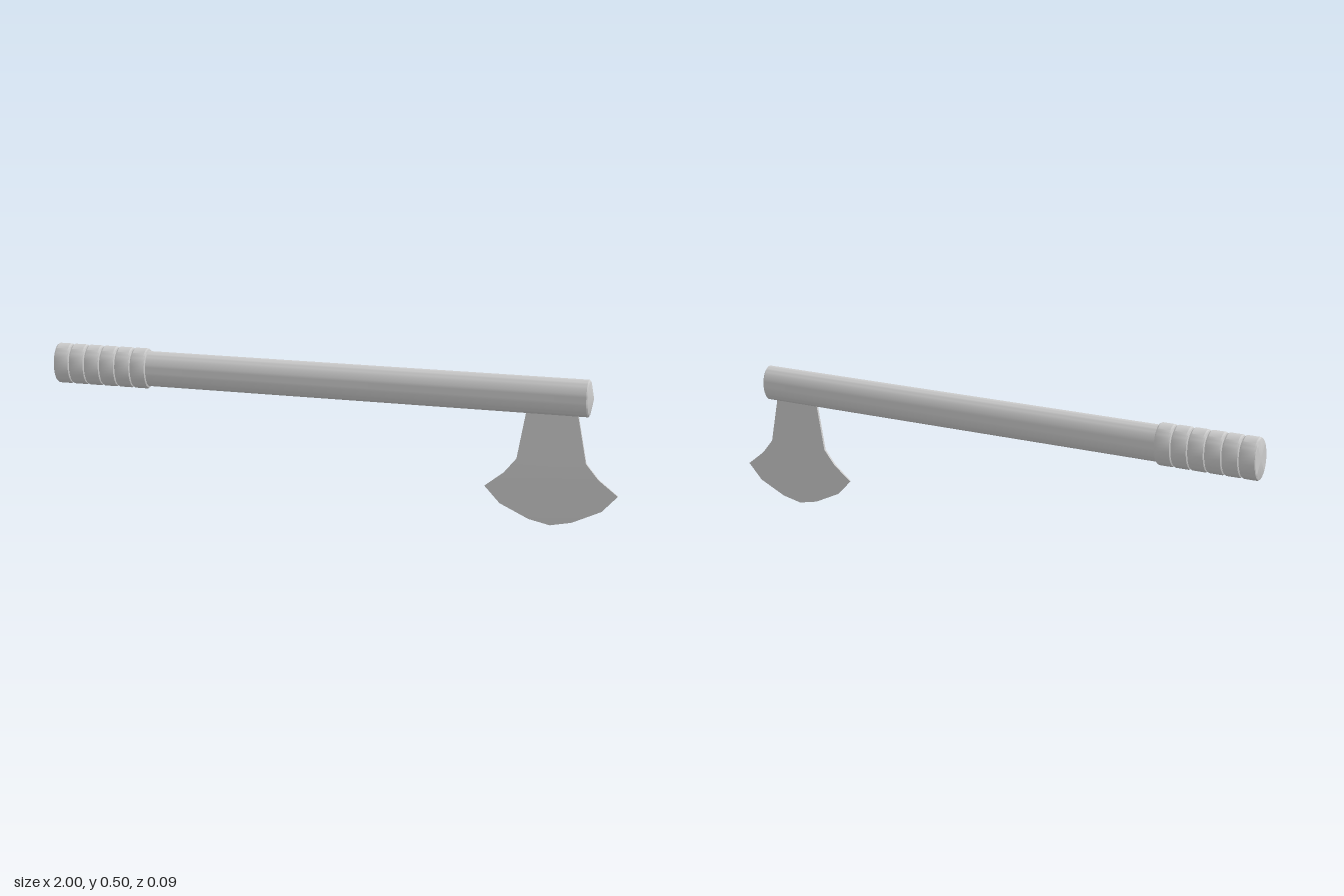
import * as THREE from 'three';
import { toCreasedNormals } from 'three/addons/utils/BufferGeometryUtils.js';

const AXIS_Y = 0.429;
const BLADE_X = 0.775;

// Oval bar along x: profile pairs are [half height, x]
function ovalBar(profile, depthRatio) {
  const points = profile.map(([r, x]) => new THREE.Vector2(r, x));
  const geo = new THREE.LatheGeometry(points, 40);
  geo.rotateZ(-Math.PI / 2);
  geo.scale(1, 1, depthRatio);
  return toCreasedNormals(geo, 0.45);
}

// Blade skinned over thin rectangular rows: [y, half width, half thickness]
function bladeGeometry(rows) {
  const positions = [];
  const index = [];
  for (const [y, w, t] of rows) {
    positions.push(-w, y, t, w, y, t, w, y, -t, -w, y, -t);
  }
  for (let i = 0; i < rows.length - 1; i++) {
    for (let j = 0; j < 4; j++) {
      const a = i * 4 + j;
      const b = i * 4 + ((j + 1) % 4);
      index.push(a, a + 4, b, b, a + 4, b + 4);
    }
  }
  index.push(0, 1, 2, 0, 2, 3);
  const geo = new THREE.BufferGeometry();
  geo.setAttribute('position', new THREE.Float32BufferAttribute(positions, 3));
  geo.setIndex(index);
  return toCreasedNormals(geo, 0.3);
}

export function createModel() {
  const model = new THREE.Group();
  const material = new THREE.MeshStandardMaterial({ color: 0xcccccc });
  const bladeMaterial = new THREE.MeshStandardMaterial({ color: 0xcccccc, side: THREE.DoubleSide });

  function add(parent, name, geometry, mat = material) {
    const mesh = new THREE.Mesh(geometry, mat);
    mesh.name = name;
    parent.add(mesh);
    return mesh;
  }

  // Shaft with a shallow domed head end
  const shaft = add(model, 'shaft', ovalBar(
    [[0, -0.98], [0.061, -0.98], [0.061, 0.893], [0.056, 0.897], [0, 0.91]], 0.62));
  shaft.position.y = AXIS_Y;

  // Grip made of six bevelled rings
  const grip = new THREE.Group();
  grip.name = 'grip';
  grip.position.set(-1, AXIS_Y, 0);
  model.add(grip);
  const pitch = 0.0585;
  const width = 0.057;
  const bevel = 0.007;
  const ringGeometry = ovalBar([
    [0, 0], [0.062, 0], [0.067, 0.002], [0.07, bevel],
    [0.07, width - bevel], [0.067, width - 0.002], [0.062, width], [0, width],
  ], 0.66);
  for (let i = 0; i < 6; i++) {
    add(grip, 'gripRing', ringGeometry).position.x = i * pitch;
  }

  // Flared blade thinning to its curved cutting edge
  const blade = add(model, 'blade', bladeGeometry([
    [0.4, 0.08, 0.004],
    [0.37, 0.086, 0.004],
    [0.215, 0.115, 0.004],
    [0.165, 0.157, 0.004],
    [0.115, 0.222, 0.0028],
    [0.06, 0.17, 0.0015],
    [0.015, 0.072, 0.0006],
    [0, 0, 0],
  ]), bladeMaterial);
  blade.position.x = BLADE_X;

  return model;
}
